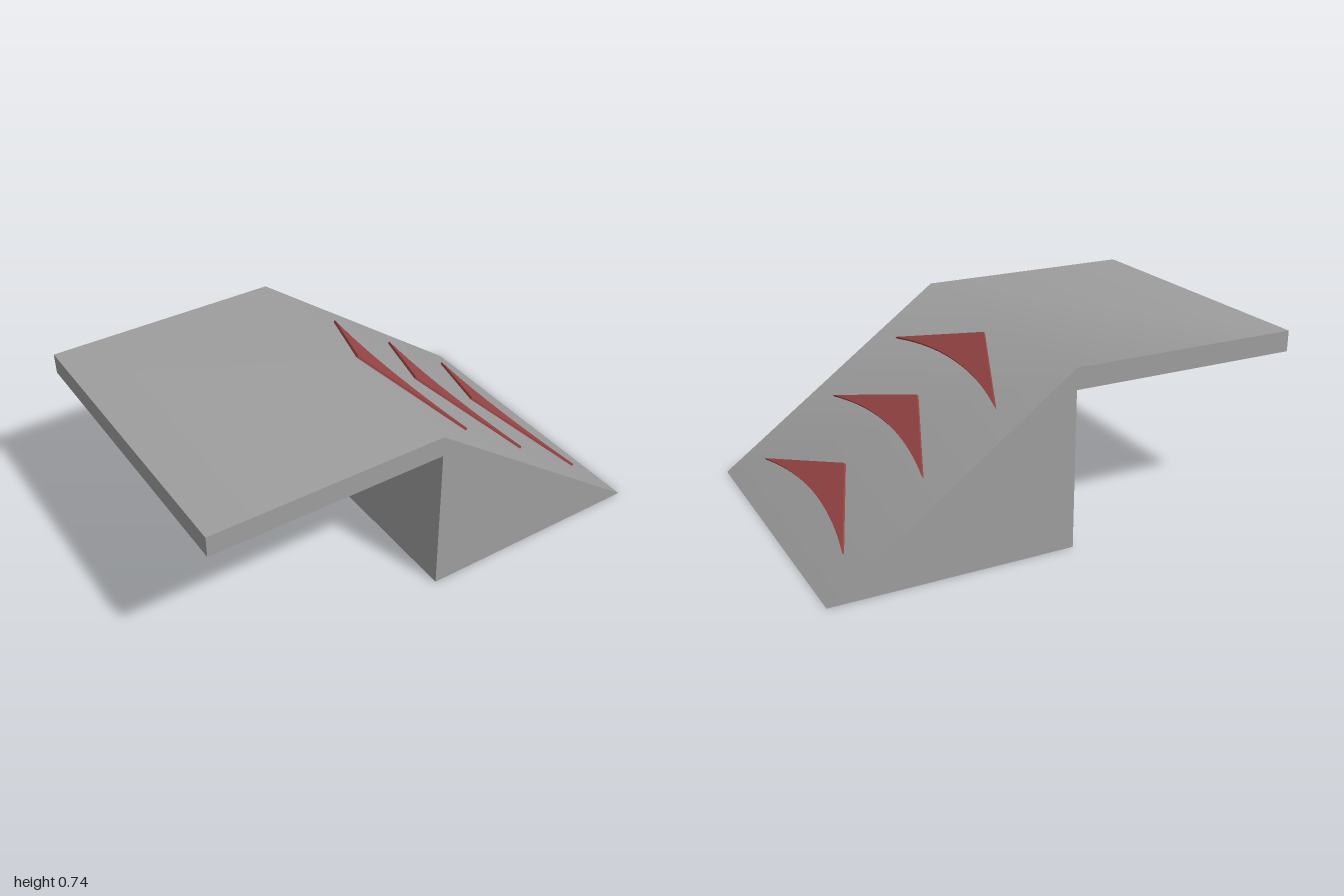
import * as THREE from 'three';
import { toCreasedNormals } from 'three/addons/utils/BufferGeometryUtils.js';

const WIDTH = 1.31, RIDGE_X = -0.01, TOP = 0.74;

// Side profile: flat platform running into a solid ramp
function makeRamp() {
  const profile = new THREE.Shape([
    [-1, 0.652], [RIDGE_X, 0.652], [RIDGE_X, 0], [1, 0], [RIDGE_X, TOP], [-1, TOP],
  ].map(([x, y]) => new THREE.Vector2(x, y)));
  const geometry = new THREE.ExtrudeGeometry(profile, { depth: WIDTH, bevelEnabled: false });
  geometry.translate(0, 0, -WIDTH / 2);
  // The ridge is softly shaded, all other edges stay sharp
  const ramp = new THREE.Mesh(toCreasedNormals(geometry, 0.7),
    new THREE.MeshStandardMaterial({ color: 0x9e9e9e }));
  ramp.name = 'platformAndRamp';
  return ramp;
}

// Thin arrowhead with a curved lower edge, pointing up the slope
function makeArrowGeometry() {
  const shape = new THREE.Shape();
  shape.moveTo(0, 0.015);
  shape.lineTo(0.233, -0.485);
  shape.quadraticCurveTo(0.105, 0, 0.233, 0.482);
  shape.closePath();
  const geometry = new THREE.ExtrudeGeometry(shape, { depth: 0.017, bevelEnabled: false, curveSegments: 20 });
  geometry.translate(0, 0, -0.006); // sunk slightly into the ramp
  return toCreasedNormals(geometry, 0.5);
}

export function createModel() {
  const model = new THREE.Group();
  model.name = 'ramp';
  model.add(makeRamp());

  // Local frame on the slope: x downhill, z along the surface normal
  const downhill = new THREE.Vector3(1 - RIDGE_X, -TOP, 0).normalize();
  const normal = new THREE.Vector3(-downhill.y, downhill.x, 0);
  const across = new THREE.Vector3().crossVectors(normal, downhill);
  const arrows = new THREE.Group();
  arrows.name = 'slopeArrows';
  arrows.quaternion.setFromRotationMatrix(new THREE.Matrix4().makeBasis(downhill, across, normal));
  arrows.position.set(RIDGE_X, TOP, 0);

  const geometry = makeArrowGeometry();
  const red = new THREE.MeshStandardMaterial({ color: 0x9b4646 });
  for (const distance of [0.072, 0.449, 0.852]) {
    const arrow = new THREE.Mesh(geometry, red);
    arrow.name = 'arrow';
    arrow.position.x = distance;
    arrows.add(arrow);
  }
  model.add(arrows);
  return model;
}
